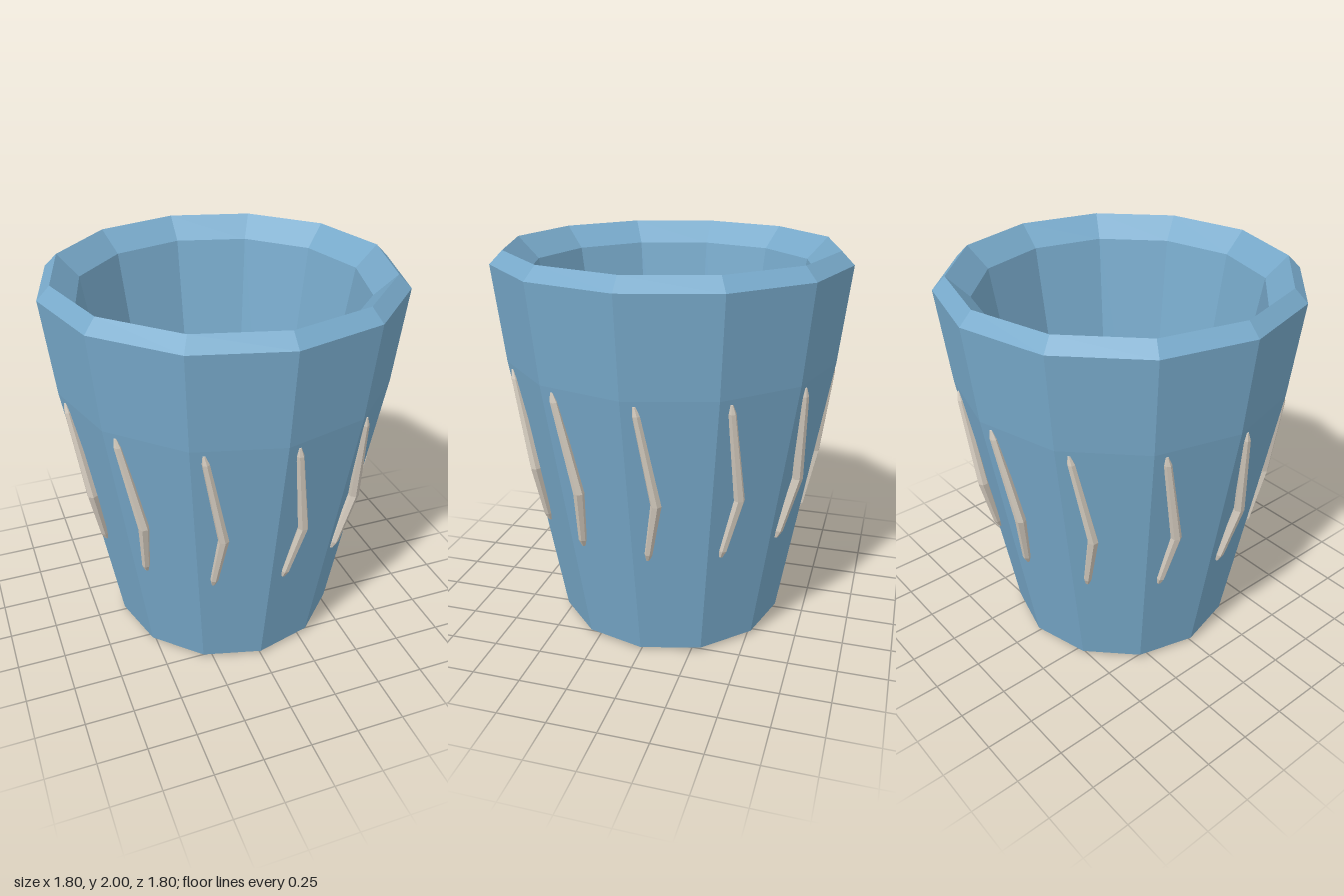
import * as THREE from 'three';

const SIDES = 12;
const BLUE = 0x78aacb;
const IVORY = 0xd8cfc2;

function flatMaterial(color) {
  return new THREE.MeshStandardMaterial({ color, flatShading: true });
}

function lathe(profile, segments, phiStart = 0) {
  const points = profile.map(([r, y]) => new THREE.Vector2(r, y));
  return new THREE.LatheGeometry(points, segments, phiStart).toNonIndexed();
}

// Closed profile: underside, outer wall, bevelled rim, inner wall, floor
function makeCup() {
  const profile = [
    [0, 0], [0.48, 0], [0.6, 0.02], [0.846, 1.45], [0.9, 1.935],
    [0.835, 2], [0.725, 1.89], [0.425, 0.12], [0, 0.12],
  ];
  const geometry = lathe(profile, SIDES);
  geometry.computeVertexNormals();
  const cup = new THREE.Mesh(geometry, flatMaterial(BLUE));
  cup.name = 'cupBody';
  return cup;
}

// Bent six-sided sliver: each station has height, half width,
// azimuth in degrees and distance from the cup's axis
function makeSliverGeometry() {
  const stations = [
    { y: 0.59, w: 0.009, az: 6, r: 0.688 },
    { y: 0.63, w: 0.02, az: 6.5, r: 0.7 },
    { y: 0.92, w: 0.027, az: 10.2, r: 0.763 },
    { y: 1.38, w: 0.019, az: 4.7, r: 0.822 },
    { y: 1.425, w: 0.007, az: 4.2, r: 0.828 },
  ];
  const first = stations[0];
  const last = stations[stations.length - 1];
  const profile = [[0, first.y], ...stations.map((s) => [s.w, s.y]), [0, last.y]];
  const geometry = lathe(profile, 6, Math.PI / 6);

  // Shift every ring out to its station on the cup wall
  const pos = geometry.attributes.position;
  for (let i = 0; i < pos.count; i++) {
    const s = stations.find((st) => Math.abs(st.y - pos.getY(i)) < 1e-4);
    const az = THREE.MathUtils.degToRad(s.az);
    pos.setX(i, pos.getX(i) + s.r * Math.sin(az));
    pos.setZ(i, pos.getZ(i) + s.r * Math.cos(az));
  }
  geometry.computeVertexNormals();
  return geometry;
}

export function createModel() {
  const model = new THREE.Group();
  model.name = 'cup';
  model.add(makeCup());

  // Ring of slivers around the wall
  const ring = new THREE.Group();
  ring.name = 'sliverRing';
  const geometry = makeSliverGeometry();
  const material = flatMaterial(IVORY);
  for (let i = 0; i < SIDES; i++) {
    const sliver = new THREE.Mesh(geometry, material);
    sliver.name = `sliver${i + 1}`;
    sliver.rotation.y = (i / SIDES) * Math.PI * 2;
    ring.add(sliver);
  }
  model.add(ring);
  return model;
}
